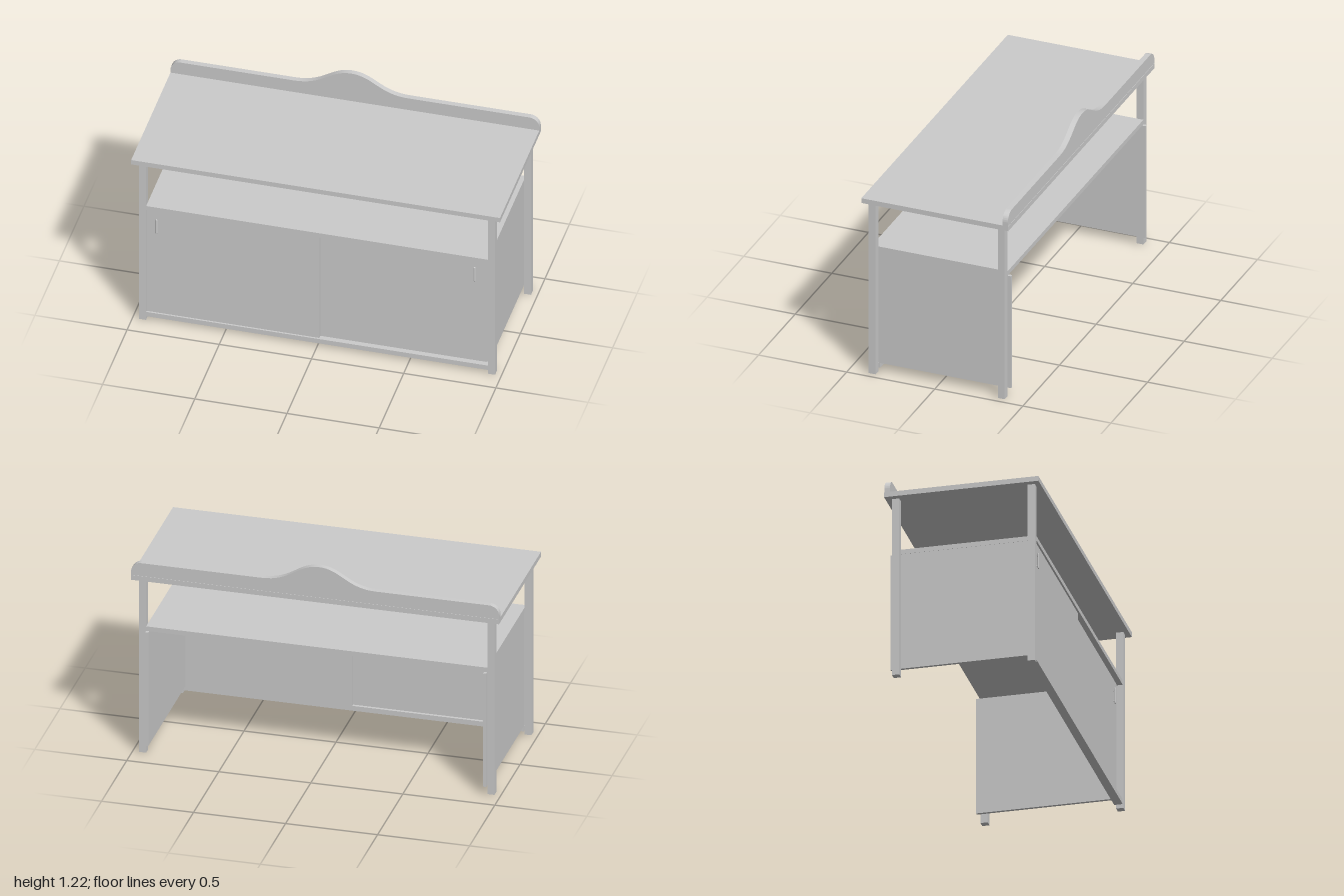
import * as THREE from 'three';
import { toCreasedNormals } from 'three/addons/utils/BufferGeometryUtils.js';

const material = new THREE.MeshStandardMaterial({ color: 0xcccccc });

export function createModel() {
  const model = new THREE.Group();
  model.name = 'sideboard';

  const add = (name, geometry, parent = model) => {
    const mesh = new THREE.Mesh(geometry, material);
    mesh.name = name;
    parent.add(mesh);
    return mesh;
  };
  // Box given by its lower and upper bounds on each axis
  const box = (name, [x0, x1], [y0, y1], [z0, z1], parent) => {
    const mesh = add(name, new THREE.BoxGeometry(x1 - x0, y1 - y0, z1 - z0), parent);
    mesh.position.set((x0 + x1) / 2, (y0 + y1) / 2, (z0 + z1) / 2);
    return mesh;
  };

  // Worktop
  box('worktop', [-1, 1], [1.017, 1.045], [-0.417, 0.417]);

  // Four legs and the two side panels just inside them
  for (const side of [-1, 1]) {
    const label = side > 0 ? 'left' : 'right';
    const span = (a, b) => (side > 0 ? [a, b] : [-b, -a]);
    box(label + 'FrontLeg', span(0.927, 0.966), [0, 1.017], [0.35, 0.389]);
    box(label + 'BackLeg', span(0.927, 0.966), [0, 1.017], [-0.383, -0.344]);
    box(label + 'SidePanel', span(0.91, 0.926), [0.05, 0.712], [-0.402, 0.352]);
  }

  // Shelf above the cupboard and rail below the doors
  box('shelf', [-0.927, 0.927], [0.712, 0.738], [-0.383, 0.386]);
  box('bottomRail', [-0.927, 0.927], [0.022, 0.05], [0.34, 0.386]);

  // Sliding doors on two tracks
  box('rightDoor', [-0.927, 0.01], [0.05, 0.712], [0.356, 0.376]);
  box('leftDoor', [0.005, 0.91], [0.05, 0.712], [0.338, 0.356]);

  // Slim upright door pulls on two short posts
  const addHandle = (name, x, doorFront) => {
    const handle = new THREE.Group();
    handle.name = name;
    const bar = add('handleBar', new THREE.CapsuleGeometry(0.0065, 0.08, 4, 12), handle);
    bar.scale.z = 0.6;
    bar.position.z = 0.009;
    for (const y of [-0.03, 0.03]) {
      const post = add('handlePost', new THREE.CylinderGeometry(0.003, 0.003, 0.01, 8), handle);
      post.rotation.x = Math.PI / 2;
      post.position.set(0, y, 0.004);
    }
    handle.position.set(x, 0.615, doorFront);
    model.add(handle);
  };
  addHandle('rightHandle', -0.872, 0.376);
  addHandle('leftHandle', 0.848, 0.356);

  // Upstand with rounded corners and a bell-shaped crest
  const base = 1.045, top = 1.12, peak = 1.223, r = 0.055, crest = -0.02, half = 0.31;
  const outline = new THREE.Shape();
  outline.moveTo(-1, base);
  outline.lineTo(1, base);
  outline.lineTo(1, top - r);
  outline.absarc(1 - r, top - r, r, 0, Math.PI / 2, false);
  outline.lineTo(crest + half, top);
  outline.bezierCurveTo(crest + 0.15, top, crest + 0.12, peak, crest, peak);
  outline.bezierCurveTo(crest - 0.12, peak, crest - 0.15, top, crest - half, top);
  outline.lineTo(-1 + r, top);
  outline.absarc(-1 + r, top - r, r, Math.PI / 2, Math.PI, false);
  const upstand = new THREE.ExtrudeGeometry(outline, { depth: 0.03, bevelEnabled: false, curveSegments: 16 });
  add('upstand', toCreasedNormals(upstand, 0.6)).position.z = -0.415;

  return model;
}
